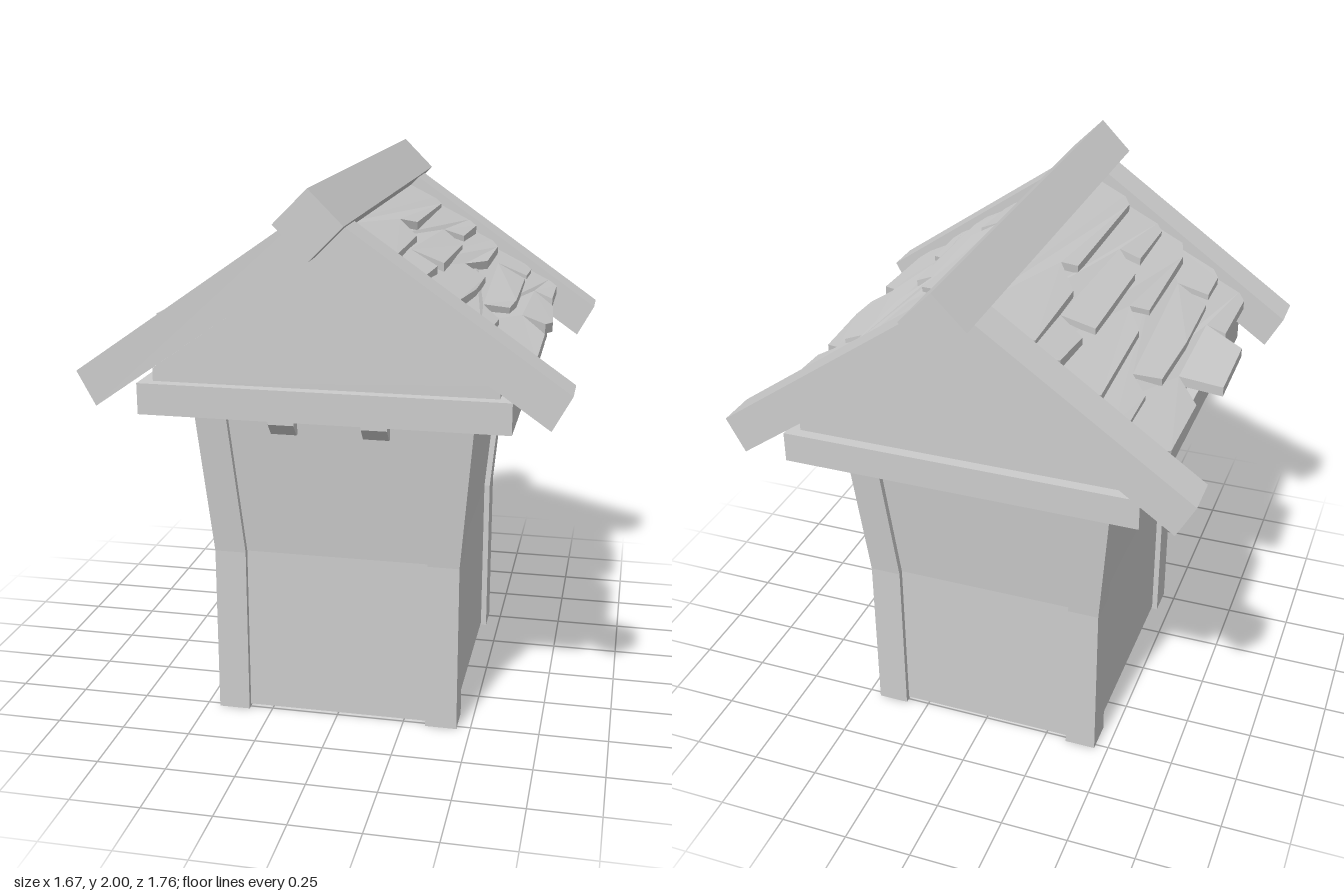
import * as THREE from 'three';

const SLOPE = 0.697;                          // roof pitch
const roofTop = (x) => 1.937 - SLOPE * Math.abs(x);
const roofBottom = (x) => 1.77 - SLOPE * Math.abs(x);

// Lower edges of the shingle rows as [distance from ridge, z], lowest row first
const SHINGLES_LEFT = [
  [[.68, -.61], [.68, -.38], [.61, -.36], [.69, -.28], [.71, 0], [.69, .1], [.61, .15], [.7, .25], [.7, .59]],
  [[.575, -.6], [.57, -.45], [.46, -.4], [.57, -.37], [.58, .07], [.57, .21], [.49, .34], [.555, .42], [.55, .6]],
  [[.44, -.56], [.44, -.2], [.38, 0], [.46, .03], [.46, .3], [.44, .58]],
  [[.345, -.6], [.33, -.33], [.26, -.27], [.345, -.18], [.345, .3], [.235, .35], [.335, .38], [.32, .6]],
  [[.2, -.6], [.2, 0], [.15, .09], [.23, .19], [.23, .6]],
];
const SHINGLES_RIGHT = [
  [[.7, -.6], [.7, -.26], [.61, -.16], [.76, -.11], [.76, .19], [.61, .25], [.68, .27], [.68, .6]],
  [[.56, -.6], [.56, -.42], [.495, -.35], [.58, -.28], [.59, .02], [.58, .36], [.46, .39], [.57, .44], [.57, .6]],
  [[.46, -.6], [.45, -.12], [.38, 0], [.44, .05], [.44, .54]],
  [[.32, -.6], [.33, -.4], [.235, -.35], [.345, -.3], [.35, .17], [.26, .27], [.335, .29], [.335, .6]],
  [[.235, -.6], [.235, -.21], [.15, -.09], [.2, -.05], [.2, .6]],
];

export function createModel() {
  const model = new THREE.Group();
  model.name = 'wellHouse';
  const material = new THREE.MeshStandardMaterial({ color: 0xcccccc, flatShading: true });

  const add = (name, geometry, parent = model) => {
    const mesh = new THREE.Mesh(geometry, material);
    mesh.name = name;
    parent.add(mesh);
    return mesh;
  };
  const group = (name) => {
    const g = new THREE.Group();
    g.name = name;
    model.add(g);
    return g;
  };
  const box = (x0, x1, y0, y1, z0, z1) =>
    new THREE.BoxGeometry(x1 - x0, y1 - y0, z1 - z0)
      .translate((x0 + x1) / 2, (y0 + y1) / 2, (z0 + z1) / 2);
  // Outline in x and y, extruded from z0 to z1
  const prism = (points, z0, z1) => {
    const shape = new THREE.Shape(points.map(([x, y]) => new THREE.Vector2(x, y)));
    return new THREE.ExtrudeGeometry(shape, { depth: z1 - z0, bevelEnabled: false }).translate(0, 0, z0);
  };
  // Upright block, straight to y = 0.63 and then leaning outwards to y = 1.2
  const flared = (x0, x1, z0, z1, base) => {
    const g = new THREE.BoxGeometry(x1 - x0, 2, z1 - z0, 1, 2, 1)
      .translate((x0 + x1) / 2, 1, (z0 + z1) / 2);
    const p = g.attributes.position;
    for (let i = 0; i < p.count; i++) {
      const level = Math.round(p.getY(i));
      const lean = level === 2 ? 0.05 : 0;
      p.setXYZ(i, p.getX(i) + Math.sign(p.getX(i)) * lean, [base, 0.63, 1.2][level],
        p.getZ(i) + Math.sign(p.getZ(i)) * lean);
    }
    return g;
  };

  // Body walls and corner posts
  add('walls', flared(-0.428, 0.428, -0.498, 0.498, 0.01));
  const posts = group('cornerPosts');
  for (const sx of [-1, 1]) for (const sz of [-1, 1]) {
    const [x0, x1] = sx > 0 ? [0.335, 0.45] : [-0.45, -0.335];
    const [z0, z1] = sz > 0 ? [0.4, 0.52] : [-0.52, -0.4];
    add('cornerPost', flared(x0, x1, z0, z1, 0), posts);
  }

  // Beam frame around the top of the walls, with a recessed ceiling
  const frame = group('beamFrame');
  for (const s of [-1, 1]) {
    add('endBeam', box(-0.64, 0.64, 1.2, 1.31, s * 0.705 - 0.035, s * 0.705 + 0.035), frame);
    add('sideBeam', box(s * 0.605 - 0.035, s * 0.605 + 0.035, 1.2, 1.31, -0.67, 0.67), frame);
  }
  add('ceiling', box(-0.57, 0.57, 1.25, 1.305, -0.67, 0.67), frame);

  // Chamfered pegs under the end beams
  const pegs = group('pegs');
  for (const turn of [0, Math.PI]) for (const x of [-0.175, 0.155]) {
    const g = prism([[0.48, 1.25], [0.595, 1.25], [0.595, 1.145], [0.555, 1.1], [0.48, 1.1]], -0.046, 0.046);
    g.rotateY(-Math.PI / 2).translate(turn ? -x : x, 0, 0).rotateY(turn);
    add('peg', g, pegs);
  }

  // Gables and loft in one solid, and the roof deck above it
  add('gables', prism([[-0.595, 1.305], [0.595, 1.305], [0.595, roofBottom(0.595)],
    [0, 1.77], [-0.595, roofBottom(0.595)]], -0.7, 0.7));
  add('roofDeck', prism([[-0.6, roofBottom(0.6)], [0, 1.77], [0.6, roofBottom(0.6)],
    [0.6, roofTop(0.6) - 0.065], [0, roofTop(0) - 0.065], [-0.6, roofTop(0.6) - 0.065]], -0.65, 0.65));

  // Barge boards at both ends of the roof, and the ridge beam
  const boards = group('bargeBoards');
  for (const sx of [-1, 1]) for (const z0 of [-0.785, 0.64]) {
    add('bargeBoard', prism([[0, 1.77], [sx * 0.77, 1.235], [sx * 0.835, 1.355], [0, 1.937]],
      z0, z0 + 0.145), boards);
  }
  add('ridgeBeam', prism([[0, 1.77], [0.115, 1.885], [0, 2], [-0.115, 1.885]], -0.88, 0.88));

  // Ragged overlapping shingle rows
  const shingles = group('shingles');
  for (const [side, rows] of [[1, SHINGLES_LEFT], [-1, SHINGLES_RIGHT]]) {
    rows.forEach((edge, row) => {
      const nominal = 0.69 - row * 0.12;
      const upper = Math.max(0.03, nominal - 0.24);
      const first = edge[0], last = edge[edge.length - 1];
      const outline = [[upper, -0.65], [first[0] - 0.035, -0.65], ...edge,
        [last[0] - 0.03, 0.645], [upper, 0.645]];
      const shape = new THREE.Shape(outline.map(([x, z]) => new THREE.Vector2(side * x, -z)));
      const g = new THREE.ExtrudeGeometry(shape, { depth: 0.035, bevelEnabled: false }).rotateX(-Math.PI / 2);
      const p = g.attributes.position;
      for (let i = 0; i < p.count; i++) {
        const x = Math.abs(p.getX(i)), z = p.getZ(i);
        const lift = 0.2 * (x - nominal) + Math.max(0, x - 0.71) * 0.6 + 0.006 * Math.sin(7 * z + row * 2);
        p.setY(i, p.getY(i) + roofTop(x) - 0.06 + lift);
      }
      add('shingleRow', g, shingles);
    });
  }
  return model;
}
